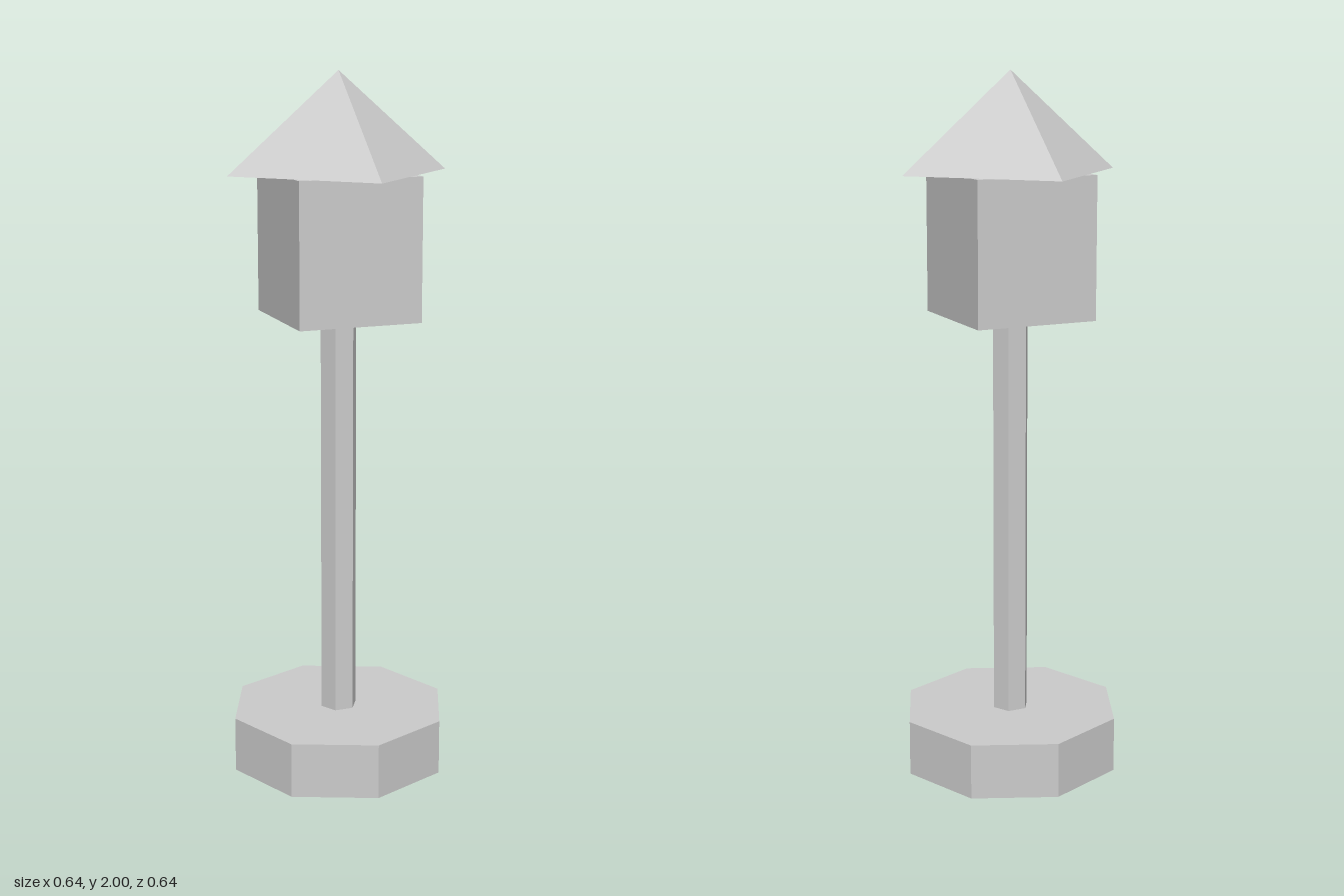
import * as THREE from 'three';

export function createModel() {
  const model = new THREE.Group();
  const grey = new THREE.MeshStandardMaterial({ color: 0xcccccc });
  grey.name = 'light grey';

  // Adds a part standing on the given height, with hard facet normals
  const add = (name, geometry, bottom, height) => {
    const flat = geometry.toNonIndexed();
    flat.computeVertexNormals();
    const mesh = new THREE.Mesh(flat, grey);
    mesh.name = name;
    mesh.position.y = bottom + height / 2;
    model.add(mesh);
    return mesh;
  };

  // Octagonal foot
  add('base', new THREE.CylinderGeometry(0.32, 0.32, 0.16, 8), 0, 0.16);

  // Hexagonal post with corners pointing sideways
  const post = add('post', new THREE.CylinderGeometry(0.0533, 0.0533, 1.163, 6), 0.16, 1.163);
  post.rotation.y = Math.PI / 6;

  // Lantern box
  add('lanternBox', new THREE.BoxGeometry(0.355, 0.4, 0.355), 1.323, 0.4);

  // Four-sided roof, turned so its corners lie on the axes
  add('roof', new THREE.ConeGeometry(0.32, 0.276, 4), 1.724, 0.276);

  return model;
}
